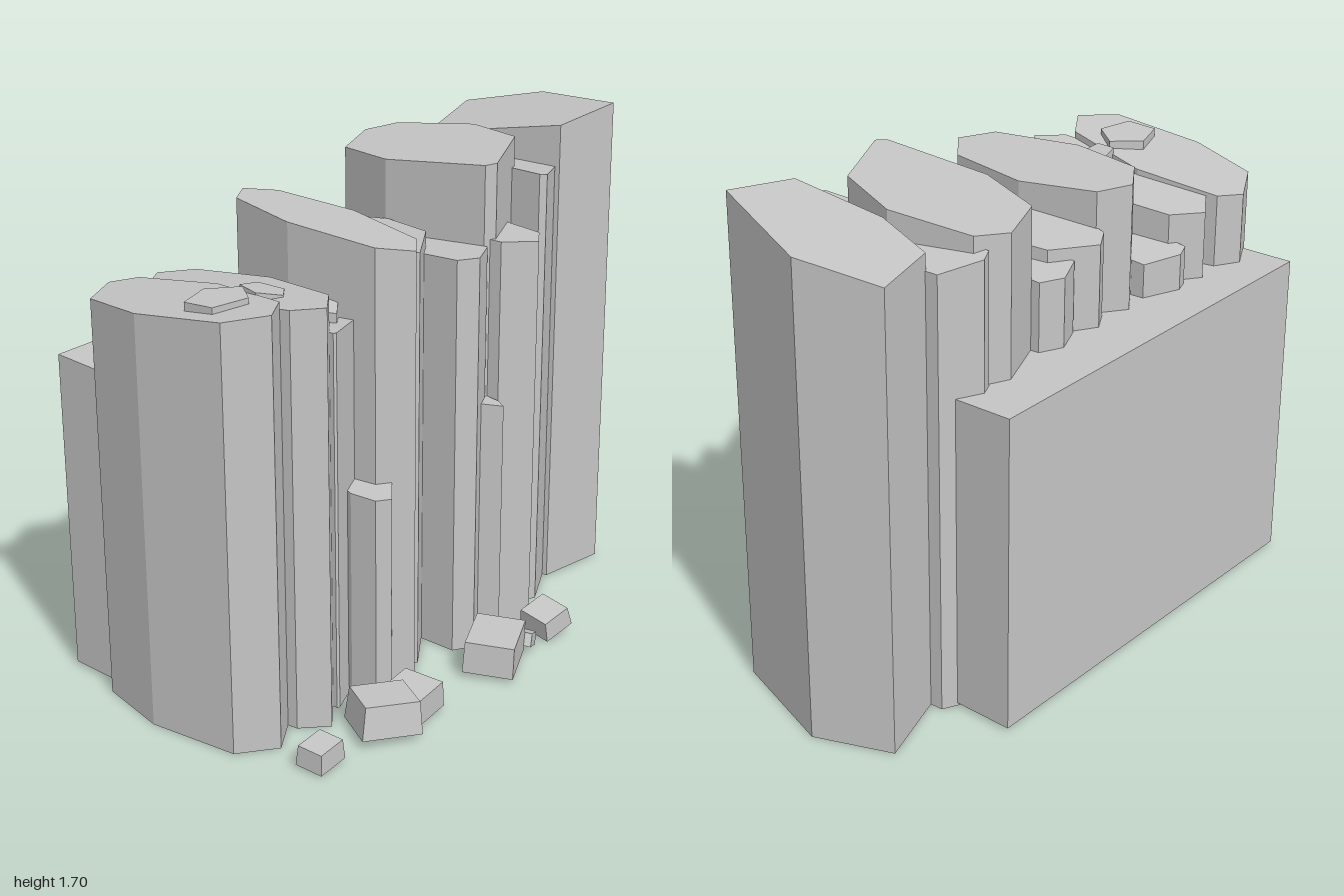
import * as THREE from 'three';

const stone = new THREE.MeshStandardMaterial({ color: 0xc6c6c6 });
stone.name = 'grey stone';

// Prism from an [x, z] outline; its top is a plane tilted by slopeX and slopeZ
function prism(name, outline, height, slopeX = 0, slopeZ = 0, bottom = 0) {
  const cx = outline.reduce((s, p) => s + p[0], 0) / outline.length;
  const cz = outline.reduce((s, p) => s + p[1], 0) / outline.length;
  const shape = new THREE.Shape(outline.map(([x, z]) => new THREE.Vector2(x, -z)));
  const g = new THREE.ExtrudeGeometry(shape, { depth: 1, bevelEnabled: false });
  g.rotateX(-Math.PI / 2);
  const p = g.attributes.position;
  for (let i = 0; i < p.count; i++) {
    const tilt = slopeX * (p.getX(i) - cx) + slopeZ * (p.getZ(i) - cz);
    p.setY(i, p.getY(i) > 0.5 ? height + tilt : bottom);
  }
  g.computeVertexNormals();
  const mesh = new THREE.Mesh(g, stone);
  mesh.name = name;
  return mesh;
}

// Long eight-sided outline: side points, back and front tips, and four shoulders.
// Tips are fractions of the width; round sets how far the shoulders draw in.
function columnOutline(left, right, back, front, backTip, frontTip, round) {
  const mid = (back + front) / 2 - 0.03;
  const l = 0.7 * round, r = 1 - 0.85 * round;
  const at = (f) => left + f * (right - left);
  const backPoint = (f) => [at(f), back + round * Math.abs(f - backTip)];
  const frontPoint = (f) => [at(f), front - 1.2 * round * Math.abs(f - frontTip)];
  return [
    [left, mid], backPoint(l), backPoint(backTip), backPoint(r),
    [right, mid], frontPoint(r), frontPoint(frontTip), frontPoint(l),
  ];
}

// Irregular thin stone flake with five corners
function flake(name, x, z, radiusX, radiusZ, turn, ...top) {
  const outline = [0, 1, 2, 3, 4].map((i) => {
    const a = turn + (i * Math.PI * 2) / 5;
    return [x + radiusX * Math.cos(a), z + radiusZ * Math.sin(a)];
  });
  return prism(name, outline, ...top);
}

// Boulder: a box narrowed towards the top and turned
function boulder(name, size, position, rotation, taper = 0.9) {
  const g = new THREE.BoxGeometry(...size).toNonIndexed();
  const p = g.attributes.position;
  for (let i = 0; i < p.count; i++) {
    if (p.getY(i) > 0) {
      p.setX(i, p.getX(i) * taper);
      p.setZ(i, p.getZ(i) * taper);
    }
  }
  g.computeVertexNormals();
  const mesh = new THREE.Mesh(g, stone);
  mesh.name = name;
  mesh.position.set(...position);
  mesh.rotation.set(...rotation);
  return mesh;
}

export function createModel() {
  const model = new THREE.Group();
  model.name = 'columnarCliff';

  // Each column: outline settings, then mean height and slopes of its top
  const columns = [
    [-1, -0.66, -0.44, 0.3, 0.59, 0.5, 0.2, 1.4, 0, 0.12],
    [-0.76, -0.46, -0.42, 0.33, 0.48, 0.43, 0.22, 1.38, -0.05, 0.1],
    [-0.55, -0.345, -0.42, 0.27, 0.3, 0.1, 0.08, 1.26, -0.1, 0.08],
    [-0.41, -0.11, -0.39, 0.36, 0.5, 0.47, 0.22, 1.525, -0.12, -0.05],
    [-0.21, 0.11, -0.4, 0.27, 0.37, 0.19, 0.2, 1.42, -0.03, 0.08],
    [-0.025, 0.19, -0.41, 0.34, 0.55, 0.38, 0.1, 1.37, -0.04, 0.06],
    [0.11, 0.555, -0.43, 0.28, 0.58, 0.22, 0.2, 1.625, 0.05, 0.1],
    [0.17, 0.4, -0.25, 0.39, 0.5, 0.53, 0.15, 1.4, -0.05, 0],
    [0.43, 0.64, -0.43, 0.28, 0.28, 0.18, 0.1, 1.545, -0.17, 0.01],
    [-0.45, -0.315, 0.18, 0.38, 0.5, 0.35, 0.1, 0.735, 0.1, 0],
    [0.1, 0.19, 0.22, 0.37, 0.5, 0.6, 0.12, 0.865, -0.08, 0],
  ];
  columns.forEach((c, i) => {
    model.add(prism(`column${i + 1}`, columnOutline(...c.slice(0, 7)), ...c.slice(7)));
  });

  // Tallest column, six-sided, at the +x end
  model.add(prism('endColumn',
    [[0.57, -0.1], [0.62, -0.32], [0.89, -0.415], [1, -0.16], [0.88, 0.235], [0.63, 0.205]],
    1.635, 0.1, 0.175));

  // Slab backing the columns
  model.add(prism('backWall',
    [[-0.91, -0.57], [0.57, -0.6], [0.575, -0.29], [-0.905, -0.26]],
    1.11, 0, -0.03, 0.01));

  // Loose flakes resting on the column tops
  model.add(
    flake('topFlake1', -0.82, 0.07, 0.11, 0.09, -0.1, 1.443, 0, 0.05, 1.39),
    flake('topFlake2', -0.63, 0.07, 0.08, 0.065, 0.1, 1.415, -0.25, -0.1, 1.35),
    flake('topFlake3', -0.43, 0.1, 0.05, 0.09, 0.5, 1.32, 0.1, -0.1, 1.24),
  );

  // Fallen boulders at the foot
  model.add(
    boulder('boulder1', [0.12, 0.07, 0.1], [-0.815, 0.045, 0.455], [0.05, 0.1, 0.04]),
    boulder('boulder2', [0.2, 0.11, 0.18], [-0.54, 0.077, 0.47], [-0.08, -0.5, -0.1]),
    boulder('boulder3', [0.15, 0.09, 0.15], [-0.395, 0.055, 0.46], [0.04, 0.15, 0.02], 0.95),
    boulder('boulder4', [0.22, 0.11, 0.17], [0.015, 0.069, 0.465], [0.05, 0.5, -0.05], 0.97),
    boulder('boulder5', [0.07, 0.045, 0.09], [0.165, 0.04, 0.46], [0.1, 0.4, -0.4]),
    boulder('boulder6', [0.12, 0.07, 0.13], [0.3, 0.058, 0.455], [0.08, -0.1, 0.25]),
  );
  return model;
}
